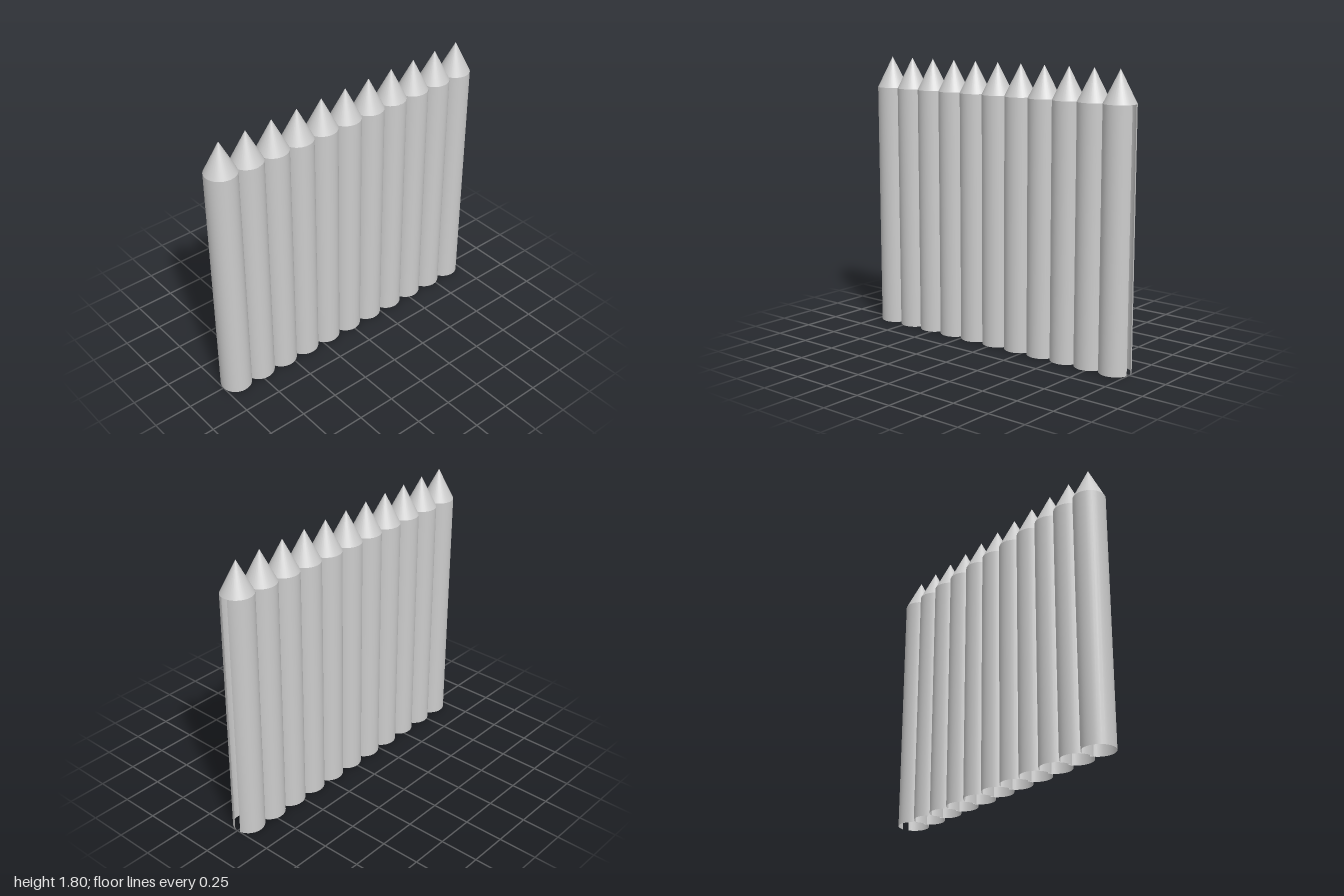
import * as THREE from 'three';

export function createModel() {
  const group = new THREE.Group();
  group.name = 'palisade';
  const grey = new THREE.MeshStandardMaterial({ color: 0xcccccc, side: THREE.DoubleSide });
  grey.name = 'plain grey';

  const count = 11, spacing = 0.18, radius = 0.1;
  const wallHeight = 1.6, tipHeight = 0.2;

  // Hollow stake wall, open below, with a narrow slot along its +x side
  const slot = 0.218;
  const wall = new THREE.CylinderGeometry(radius, radius, wallHeight, 30, 1, true,
    Math.PI / 2 + slot, Math.PI * 2 - slot * 2);
  wall.translate(0, wallHeight / 2, 0);

  // Pointed tip
  const tip = new THREE.ConeGeometry(radius, tipHeight, 32, 1, true);
  tip.translate(0, wallHeight + tipHeight / 2, 0);

  for (let i = 0; i < count; i++) {
    const stake = new THREE.Group();
    stake.name = `stake${i + 1}`;
    for (const [name, geometry] of [['stakeWall', wall], ['stakeTip', tip]]) {
      const mesh = new THREE.Mesh(geometry, grey);
      mesh.name = name;
      stake.add(mesh);
    }
    stake.position.x = (i - (count - 1) / 2) * spacing;
    group.add(stake);
  }
  return group;
}
